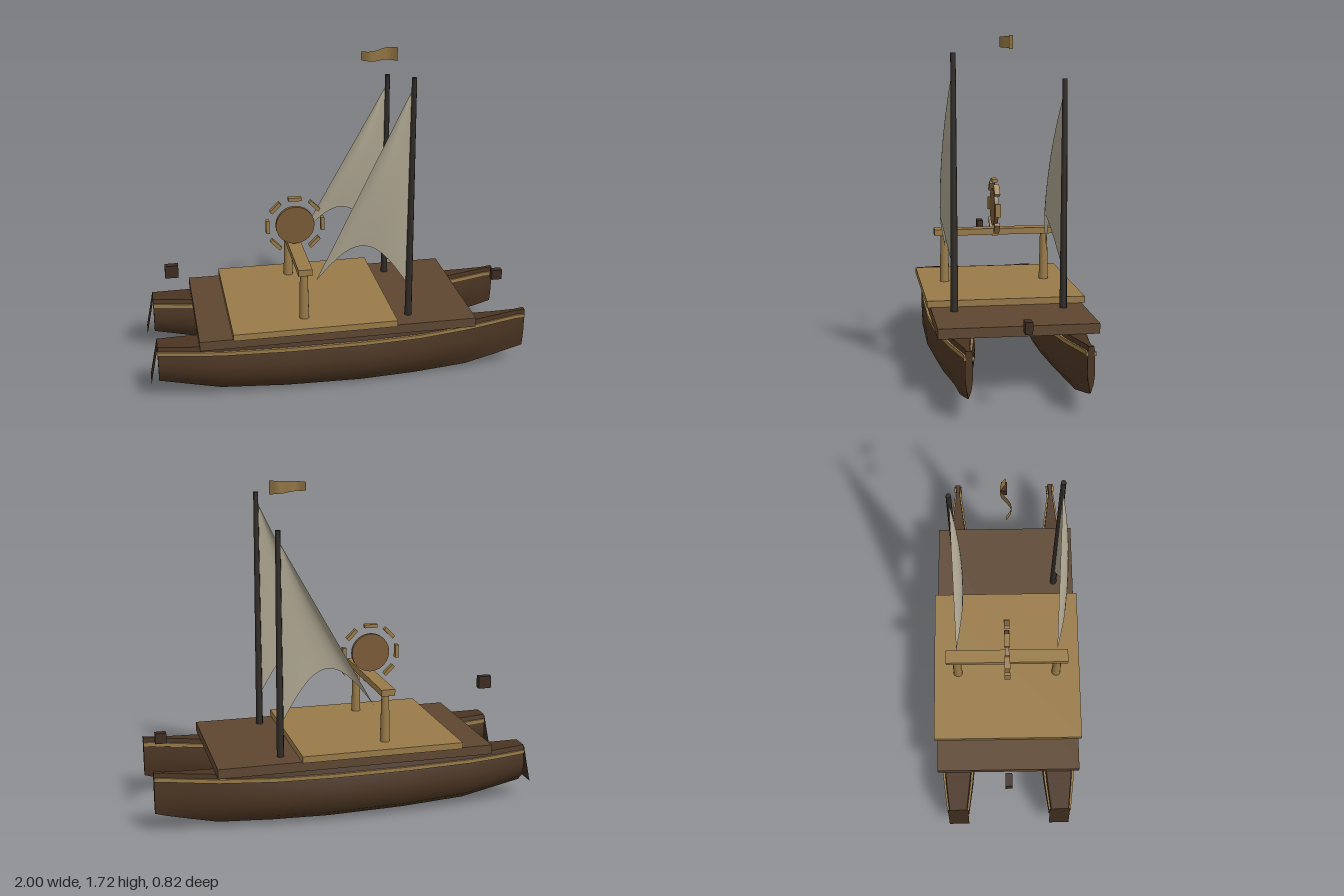
import * as THREE from 'three';
import { toCreasedNormals } from 'three/addons/utils/BufferGeometryUtils.js';

const mat = (color, side = THREE.FrontSide) => new THREE.MeshStandardMaterial({ color, side });
const hullWood = mat(0x4a3422);
const darkWood = mat(0x5e4631);
const lightWood = mat(0x987a48);
const discWood = mat(0x7a5a36);
const mastWood = mat(0x2f2a26);
const blockWood = mat(0x3d2b20);
const cloth = mat(0xa8a08c, THREE.DoubleSide);
const flagCloth = mat(0x8f7242, THREE.DoubleSide);

function add(parent, name, geometry, material, x = 0, y = 0, z = 0) {
  const mesh = new THREE.Mesh(geometry, material);
  mesh.name = name;
  mesh.position.set(x, y, z);
  parent.add(mesh);
  return mesh;
}

// Skins closed cross-sections (arrays of [x, y, z]) and caps both ends
function loft(rings) {
  const n = rings[0].length;
  const index = [];
  for (let i = 0; i < rings.length - 1; i++) {
    for (let j = 0; j < n; j++) {
      const a = i * n + j, b = i * n + (j + 1) % n;
      index.push(a, b, a + n, b, b + n, a + n);
    }
  }
  const last = (rings.length - 1) * n;
  for (let j = 1; j < n - 1; j++) {
    index.push(0, j + 1, j, last, last + j, last + j + 1);
  }
  const g = new THREE.BufferGeometry();
  g.setAttribute('position', new THREE.Float32BufferAttribute(rings.flat(2), 3));
  g.setIndex(index);
  return toCreasedNormals(g, 0.7);
}

// Remaps a unit grid with rule(u, v) -> [x, y, z]
function sheet(nu, nv, rule) {
  const g = new THREE.PlaneGeometry(1, 1, nu, nv);
  const p = g.attributes.position;
  for (let i = 0; i < p.count; i++) p.setXYZ(i, ...rule(p.getX(i) + 0.5, p.getY(i) + 0.5));
  g.computeVertexNormals();
  return g;
}

// Hull stations: x, half width, sheer height, keel height
const STATIONS = [
  [-0.96, 0.058, 0.315, 0.10], [-0.8, 0.08, 0.308, 0.065], [-0.64, 0.095, 0.302, 0.03],
  [-0.3, 0.115, 0.30, 0.008], [0.1, 0.12, 0.30, 0], [0.4, 0.10, 0.30, 0.01],
  [0.68, 0.055, 0.305, 0.03], [0.83, 0.03, 0.315, 0.065], [0.95, 0.012, 0.325, 0.095],
  [1, 0.018, 0.33, 0.11],
];
// Hull section: share of half width, share of height
const SECTION = [
  [0.8, 1], [0.88, 0.85], [1, 0.6], [0.98, 0.4], [0.62, 0.18], [0.14, 0],
  [-0.62, 0.18], [-0.98, 0.4], [-1, 0.6], [-0.88, 0.85], [-0.8, 1],
];

function makeHull() {
  const hull = new THREE.Group();
  hull.name = 'hull';
  add(hull, 'hullBody', loft(STATIONS.map(([x, w, top, low]) =>
    SECTION.map(([s, t]) => [x, low + (top - low) * t, w * s]))), hullWood);
  // Light rubbing strip along each side
  for (const side of [-1, 1]) {
    add(hull, 'rubbingStrip', loft(STATIONS.map(([x, w, top]) => {
      const z = side * w * 0.9, y = top - 0.035;
      return [[x, y + 0.01, z + 0.008], [x, y - 0.01, z + 0.008],
        [x, y - 0.01, z - 0.008], [x, y + 0.01, z - 0.008]];
    })), lightWood);
  }
  // Raked stern panel
  add(hull, 'sternPanel', sheet(1, 1, (u, v) => [-1 + 0.04 * v, 0.11 + 0.2 * v, 0.11 * (u - 0.5)]),
    mat(0x3a2a1c, THREE.DoubleSide));
  return hull;
}

// Triangular sail with an arched foot and a belly towards +z
function makeSail(head) {
  return sheet(14, 14, (u, v) => {
    const footX = 0.34 - 0.475 * u;
    const footY = 0.545 + 0.045 * u + 0.22 * Math.sin(Math.PI * u);
    return [
      THREE.MathUtils.lerp(footX, 0.345, v),
      THREE.MathUtils.lerp(footY, head, v),
      0.065 * Math.sin(Math.PI * u) * (1 - v) * (0.7 + 1.2 * v),
    ];
  });
}

export function createModel() {
  const boat = new THREE.Group();
  boat.name = 'catamaran';

  // Twin hulls
  for (const z of [0.278, -0.278]) {
    const hull = makeHull();
    hull.position.z = z;
    boat.add(hull);
  }

  // Decks
  add(boat, 'lowerDeck', new THREE.BoxGeometry(1.445, 0.05, 0.78), darkWood, -0.027, 0.33);
  add(boat, 'upperDeck', new THREE.BoxGeometry(0.85, 0.034, 0.816), lightWood, -0.155, 0.372);

  // Masts and sails; the +z mast is taller
  for (const [z, top] of [[0.277, 1.637], [-0.277, 1.51]]) {
    add(boat, 'mast', new THREE.CylinderGeometry(0.013, 0.019, top - 0.35, 8), mastWood,
      0.357, (top + 0.35) / 2, z);
    add(boat, 'sail', makeSail(top - 0.067), cloth, 0, 0, z);
  }

  // Cross beam on two posts
  add(boat, 'crossBeam', new THREE.BoxGeometry(0.072, 0.034, 0.66), lightWood, -0.198, 0.663);
  for (const z of [0.275, -0.275]) {
    add(boat, 'beamPost', new THREE.CylinderGeometry(0.02, 0.026, 0.26, 12), lightWood, -0.198, 0.518, z);
  }

  // Sun emblem: disc with a ring of eight blocks
  const sun = new THREE.Group();
  sun.name = 'sunDisc';
  sun.position.set(-0.198, 0.795, 0);
  boat.add(sun);
  add(sun, 'disc', new THREE.CylinderGeometry(0.103, 0.103, 0.022, 24), discWood).rotation.x = Math.PI / 2;
  for (let i = 0; i < 8; i++) {
    const a = i * Math.PI / 4;
    add(sun, 'rayBlock', new THREE.BoxGeometry(0.018, 0.07, 0.03), lightWood,
      0.146 * Math.cos(a), 0.146 * Math.sin(a)).rotation.z = a;
  }

  // Floating blocks at stern and bow
  add(boat, 'sternBlock', new THREE.BoxGeometry(0.07, 0.068, 0.036), blockWood, -0.856, 0.584);
  add(boat, 'bowBlock', new THREE.BoxGeometry(0.058, 0.056, 0.036), blockWood, 0.932, 0.413);

  // Waving pennant, narrower at its free end
  add(boat, 'pennant', sheet(16, 1, (u, v) => [
    0.15 + 0.19 * u,
    1.688 + (v - 0.5) * (0.045 + 0.025 * u),
    0.026 * Math.sin(u * Math.PI * 2),
  ]), flagCloth);

  return boat;
}
